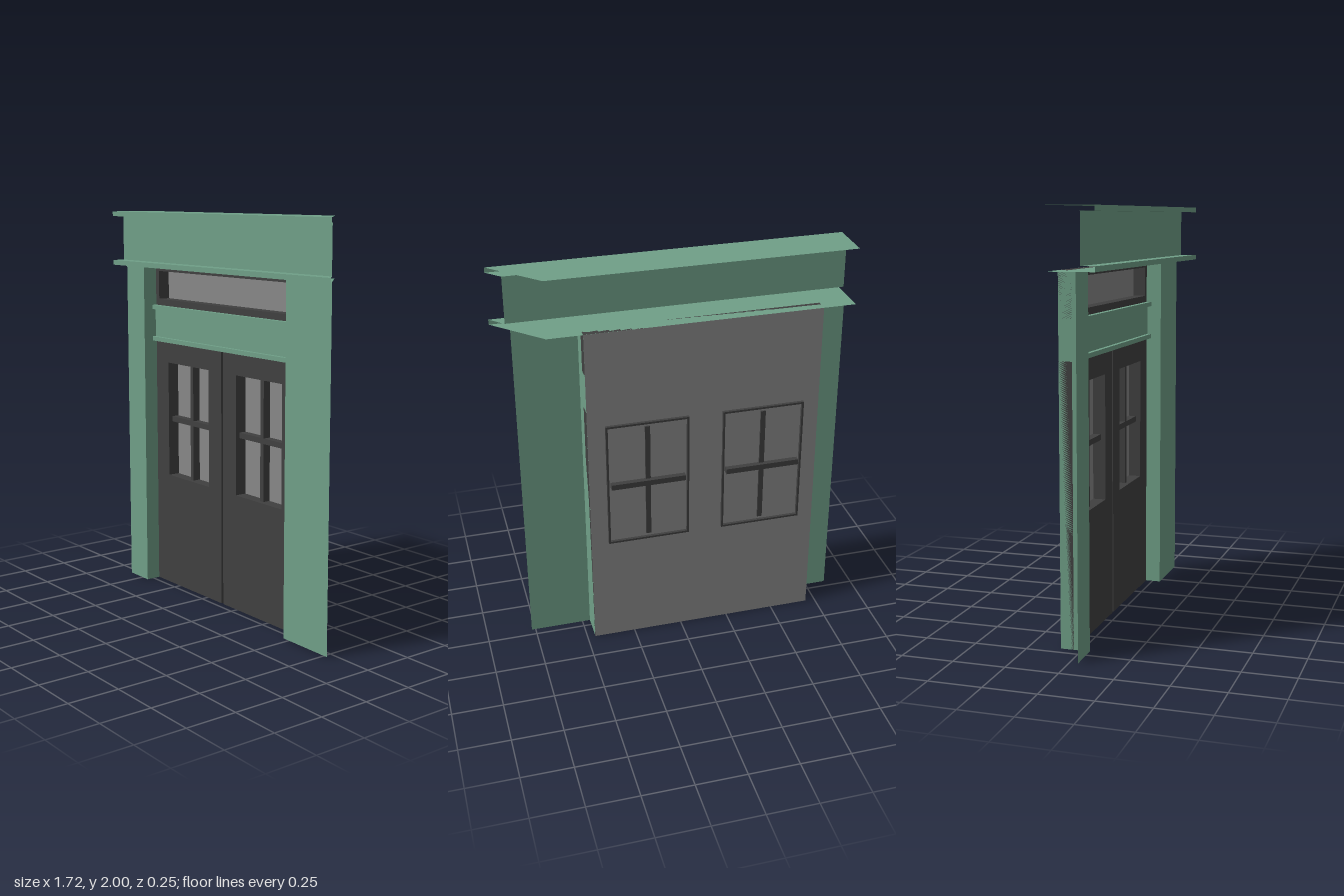
import * as THREE from 'three';

const green = new THREE.MeshStandardMaterial({ color: 0x70a088, side: THREE.DoubleSide, flatShading: true });
const dark = new THREE.MeshStandardMaterial({ color: 0x404040, flatShading: true });
const grey = new THREE.MeshStandardMaterial({ color: 0x888888, side: THREE.DoubleSide });

const LEFT = -0.70, RIGHT = 0.46;       // door opening
const BACK = -0.10, FACE = -0.037;      // backing panel and door face depths
const COLUMN_Z = 0.04, COLUMN_TOP = 1.72;

function add(parent, name, geometry, material) {
  const mesh = new THREE.Mesh(geometry, material);
  mesh.name = name;
  parent.add(mesh);
  return mesh;
}

// Box given by its limits
function box(x0, x1, y0, y1, z0, z1) {
  return new THREE.BoxGeometry(x1 - x0, y1 - y0, z1 - z0)
    .translate((x0 + x1) / 2, (y0 + y1) / 2, (z0 + z1) / 2);
}

// Open sheet ruled between two matching polylines
function sheet(a, b) {
  const pos = [];
  for (let i = 0; i < a.length - 1; i++) {
    pos.push(...a[i], ...a[i + 1], ...b[i + 1], ...a[i], ...b[i + 1], ...b[i]);
  }
  const g = new THREE.BufferGeometry();
  g.setAttribute('position', new THREE.Float32BufferAttribute(pos, 3));
  g.computeVertexNormals();
  return g;
}

function rectangle(Type, x0, x1, y0, y1) {
  return new Type([[x0, y0], [x1, y0], [x1, y1], [x0, y1]].map(p => new THREE.Vector2(...p)));
}

// Rectangular slab with a rectangular opening
function framed(outer, hole, z0, z1) {
  const shape = rectangle(THREE.Shape, ...outer);
  shape.holes.push(rectangle(THREE.Path, ...hole));
  return new THREE.ExtrudeGeometry(shape, { depth: z1 - z0, bevelEnabled: false }).translate(0, 0, z0);
}

export function createModel() {
  const model = new THREE.Group();
  model.name = 'doorway';

  // Columns: front face plus a return into the opening
  const plans = {
    rightColumn: [[-0.86, COLUMN_Z], [LEFT, COLUMN_Z], [LEFT, BACK]],
    leftColumn: [[RIGHT, BACK], [RIGHT, COLUMN_Z], [0.77, COLUMN_Z]],
  };
  for (const [name, plan] of Object.entries(plans)) {
    add(model, name, sheet(plan.map(([x, z]) => [x, 0, z]), plan.map(([x, z]) => [x, COLUMN_TOP, z])), green);
  }

  // Cornice: one open profile, square at one end and mitred at the other
  const profile = [[BACK, 2], [0.126, 2], [0.126, 1.975], [0.06, 1.975],
    [0.06, 1.745], [0.126, 1.745], [0.126, 1.72], [BACK, 1.72]];
  add(model, 'cornice', sheet(
    profile.map(([z, y]) => [-0.86, y, z]),
    profile.map(([z, y]) => [0.73 + z, y, z])), green);

  // Backing panel seen through the panes
  add(model, 'glassPanel', sheet(
    [[LEFT, 0, BACK], [RIGHT, 0, BACK]],
    [[LEFT, COLUMN_TOP, BACK], [RIGHT, COLUMN_TOP, BACK]]), grey);

  // Transom window and lintel with two trims
  add(model, 'transomFrame', framed([LEFT, RIGHT, 1.51, 1.72], [-0.672, 0.43, 1.543, 1.69], BACK + 0.001, FACE), dark);
  add(model, 'lintel', box(LEFT, RIGHT, 1.32, 1.51, BACK + 0.001, -0.032), green);
  for (const y of [1.32, 1.488]) {
    add(model, 'lintelTrim', box(LEFT, RIGHT, y, y + 0.022, -0.04, -0.012), green);
  }

  // Double doors, each with a four-pane window
  for (const [name, x0, x1, cx] of [['rightDoor', LEFT, -0.13, -0.414], ['leftDoor', -0.115, RIGHT, 0.168]]) {
    const door = new THREE.Group();
    door.name = name;
    model.add(door);
    const y0 = 0.60, y1 = 1.21, cy = 0.905, half = 0.178;
    add(door, 'doorLeaf', framed([x0, x1, 0, 1.32], [cx - half, cx + half, y0, y1], BACK + 0.001, FACE), dark);
    add(door, 'windowRim', framed([cx - 0.206, cx + 0.206, 0.574, 1.236],
      [cx - 0.196, cx + 0.196, 0.584, 1.226], -0.115, BACK + 0.001), dark);
    add(door, 'verticalBar', box(cx - 0.0125, cx + 0.0125, y0, y1, -0.108, -0.06), dark);
    add(door, 'horizontalBar', box(cx - 0.187, cx + 0.187, cy - 0.014, cy + 0.014, -0.127, -0.06), dark);
  }
  return model;
}
